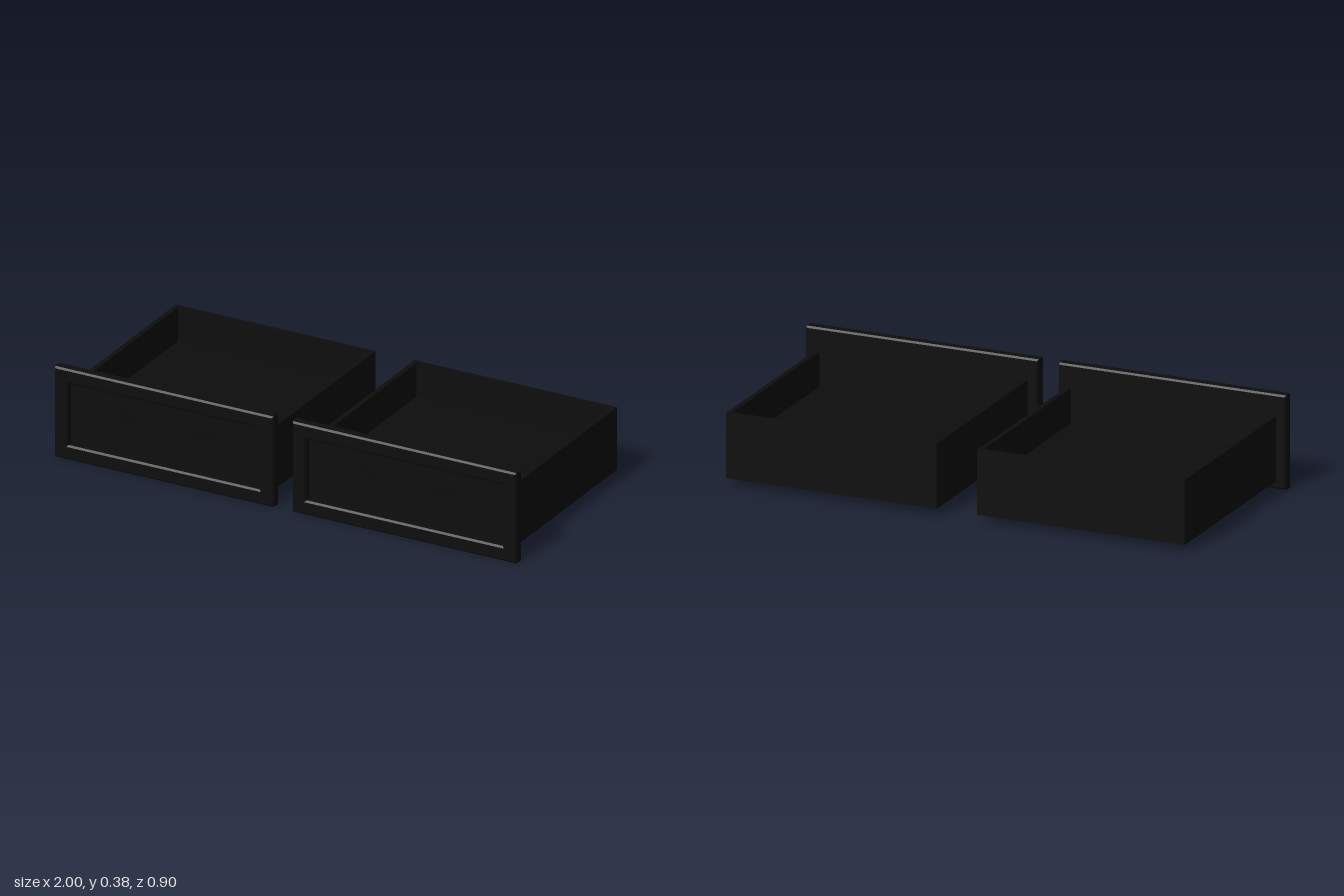
import * as THREE from 'three';

const material = new THREE.MeshStandardMaterial({ color: 0x0d0d0d, flatShading: true });

function addMesh(group, name, geometry, x = 0, y = 0, z = 0) {
  const mesh = new THREE.Mesh(geometry, material);
  mesh.name = name;
  mesh.position.set(x, y, z);
  group.add(mesh);
}

// Box given by its minimum and maximum corners
function addBox(group, name, [x0, y0, z0], [x1, y1, z1]) {
  addMesh(group, name, new THREE.BoxGeometry(x1 - x0, y1 - y0, z1 - z0),
    (x0 + x1) / 2, (y0 + y1) / 2, (z0 + z1) / 2);
}

function rectangle(target, x0, y0, x1, y1) {
  return target.moveTo(x0, y0).lineTo(x1, y0).lineTo(x1, y1).lineTo(x0, y1).closePath();
}

// Flat strap with rounded ends, bent outwards in the middle
function strapGeometry() {
  const half = 0.22, radius = 0.0225, flat = 0.12, rise = 0.046;
  const geometry = new THREE.BoxGeometry(half * 2, radius * 2, 0.005, 44, 1, 1);
  const p = geometry.attributes.position;
  for (let i = 0; i < p.count; i++) {
    const fromEnd = half - Math.abs(p.getX(i));
    const inset = Math.max(0, radius - fromEnd);
    const height = Math.sqrt(Math.max(0, radius * radius - inset * inset));
    p.setY(i, Math.sign(p.getY(i)) * height);
    p.setZ(i, p.getZ(i) + rise * Math.min(1, fromEnd / (half - flat)));
  }
  geometry.computeVertexNormals();
  return geometry;
}

function createDrawer(name, f0, f1, b0, b1) {
  const drawer = new THREE.Group();
  drawer.name = name;
  const bottom = 0.03, top = 0.29, back = -0.45, front = 0.38, wall = 0.02;

  // Open tray
  addBox(drawer, 'drawerFloor', [b0 + wall, bottom, back + wall], [b1 - wall, 0.15, front - wall]);
  addBox(drawer, 'rightWall', [b0, bottom, back], [b0 + wall, top, front]);
  addBox(drawer, 'leftWall', [b1 - wall, bottom, back], [b1, top, front]);
  addBox(drawer, 'backWall', [b0 + wall, bottom, back], [b1 - wall, top, back + wall]);
  addBox(drawer, 'innerFrontWall', [b0 + wall, bottom, front - wall], [b1 - wall, top, front]);

  // Bevelled front frame around a recessed panel
  const bevel = 0.007, height = 0.377, thickness = 0.047, border = 0.06;
  const frame = rectangle(new THREE.Shape(), f0 + bevel, bevel, f1 - bevel, height - bevel);
  frame.holes.push(rectangle(new THREE.Path(),
    f0 + border - bevel, border - bevel, f1 - border + bevel, height - border + bevel));
  addMesh(drawer, 'frontFrame', new THREE.ExtrudeGeometry(frame, {
    depth: thickness - 2 * bevel, bevelThickness: bevel, bevelSize: bevel, bevelSegments: 1,
  }), 0, 0, front + bevel);
  addBox(drawer, 'frontPanel', [f0 + border - 0.01, border - 0.01, front],
    [f1 - border + 0.01, height - border + 0.01, 0.403]);

  addMesh(drawer, 'handle', strapGeometry(), (f0 + f1) / 2, 0.242, 0.401);
  return drawer;
}

export function createModel() {
  const model = new THREE.Group();
  model.name = 'drawerPair';
  model.add(createDrawer('rightDrawer', -1, -0.052, -0.958, -0.094));
  model.add(createDrawer('leftDrawer', 0.03, 1, 0.075, 0.952));
  return model;
}
